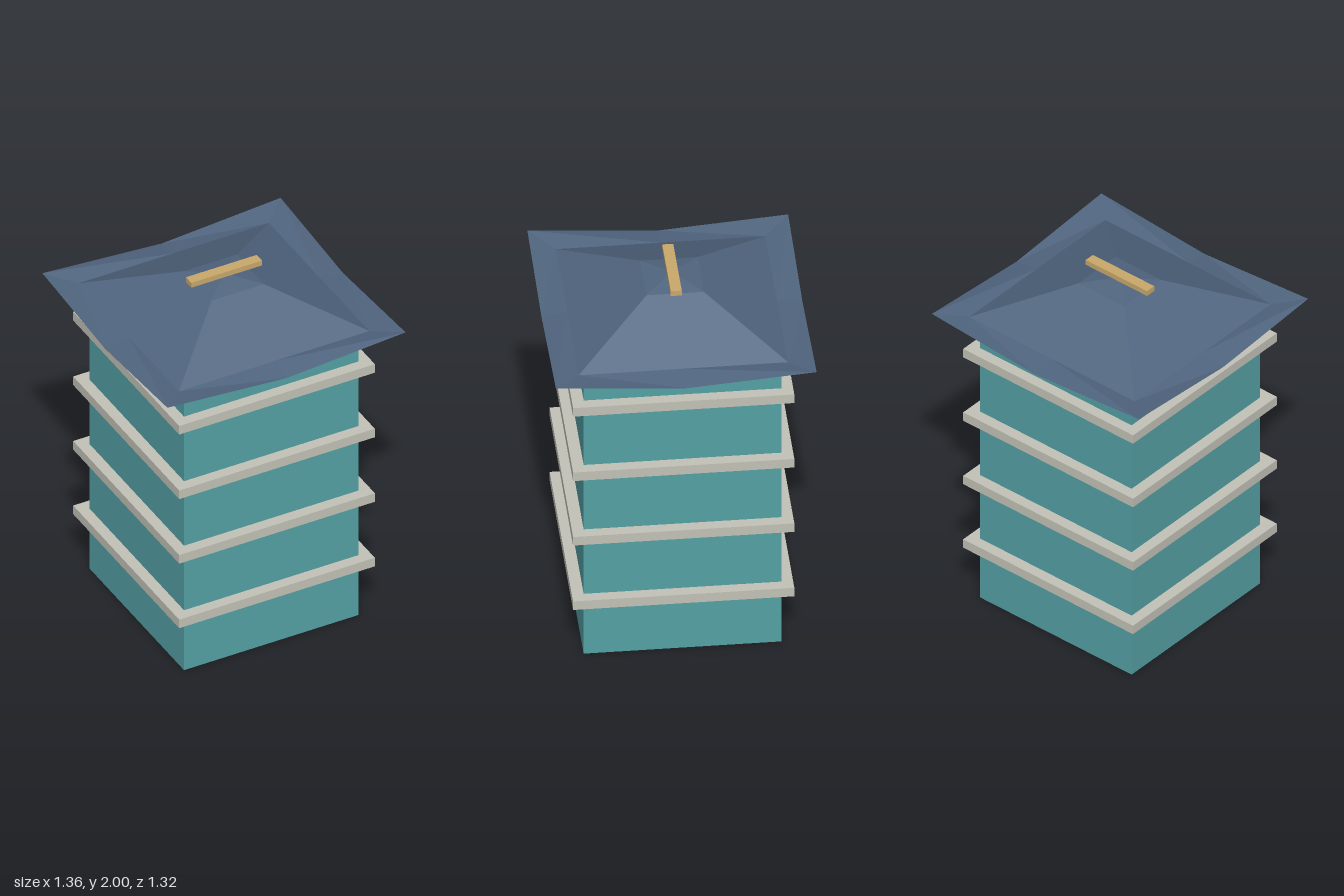
import * as THREE from 'three';

const mat = (name, color) => {
  const m = new THREE.MeshStandardMaterial({ color });
  m.name = name;
  return m;
};

// Eight points round a rectangle, corners and edge middles alternating
const ring = (x, z, cornerY, middleY) =>
  [[1, 1], [1, 0], [1, -1], [0, -1], [-1, -1], [-1, 0], [-1, 1], [0, 1]]
    .map(([sx, sz], i) => [sx * x, i % 2 ? middleY : cornerY, sz * z]);

// Open roof shell: shallow cap, hipped slopes, then eaves that sweep up at the corners
function roofGeometry() {
  const rings = [
    ring(0, 0, 1.975, 1.975),
    ring(0.15, 0.145, 1.946, 1.946),
    ring(0.545, 0.53, 1.763, 1.763),
    ring(0.682, 0.66, 1.79, 1.74),
  ];
  const pos = [];
  for (let r = 0; r < rings.length - 1; r++) {
    for (let i = 0; i < 8; i++) {
      const j = (i + 1) % 8;
      const a = rings[r][i], b = rings[r][j], c = rings[r + 1][j], d = rings[r + 1][i];
      pos.push(...d, ...c, ...a);
      if (r > 0) pos.push(...c, ...b, ...a);
    }
  }
  const g = new THREE.BufferGeometry();
  g.setAttribute('position', new THREE.Float32BufferAttribute(pos, 3));
  g.computeVertexNormals(); // unshared corners give flat facets
  return g;
}

export function createModel() {
  const model = new THREE.Group();
  model.name = 'tower';

  const teal = mat('teal wall', 0x54a0a4);
  const stone = mat('pale stone', 0xc2c2b7);
  const slate = mat('slate blue roof', 0x50657f);
  slate.side = THREE.DoubleSide;
  const gold = mat('gold', 0xc9a96c);

  const box = (name, material, w, h, d, y) => {
    const m = new THREE.Mesh(new THREE.BoxGeometry(w, h, d), material);
    m.name = name;
    m.position.y = y;
    model.add(m);
  };

  // Tower body
  box('towerBody', teal, 1, 1.71, 1, 0.855);

  // Floor ledges
  for (let i = 0; i < 4; i++) box('floorLedge' + (i + 1), stone, 1.12, 0.053, 1.12, 0.345 + i * 0.4);

  // Roof and ridge beam
  const roof = new THREE.Mesh(roofGeometry(), slate);
  roof.name = 'roof';
  model.add(roof);
  box('ridgeBeam', gold, 0.405, 0.03, 0.056, 1.985);

  return model;
}
